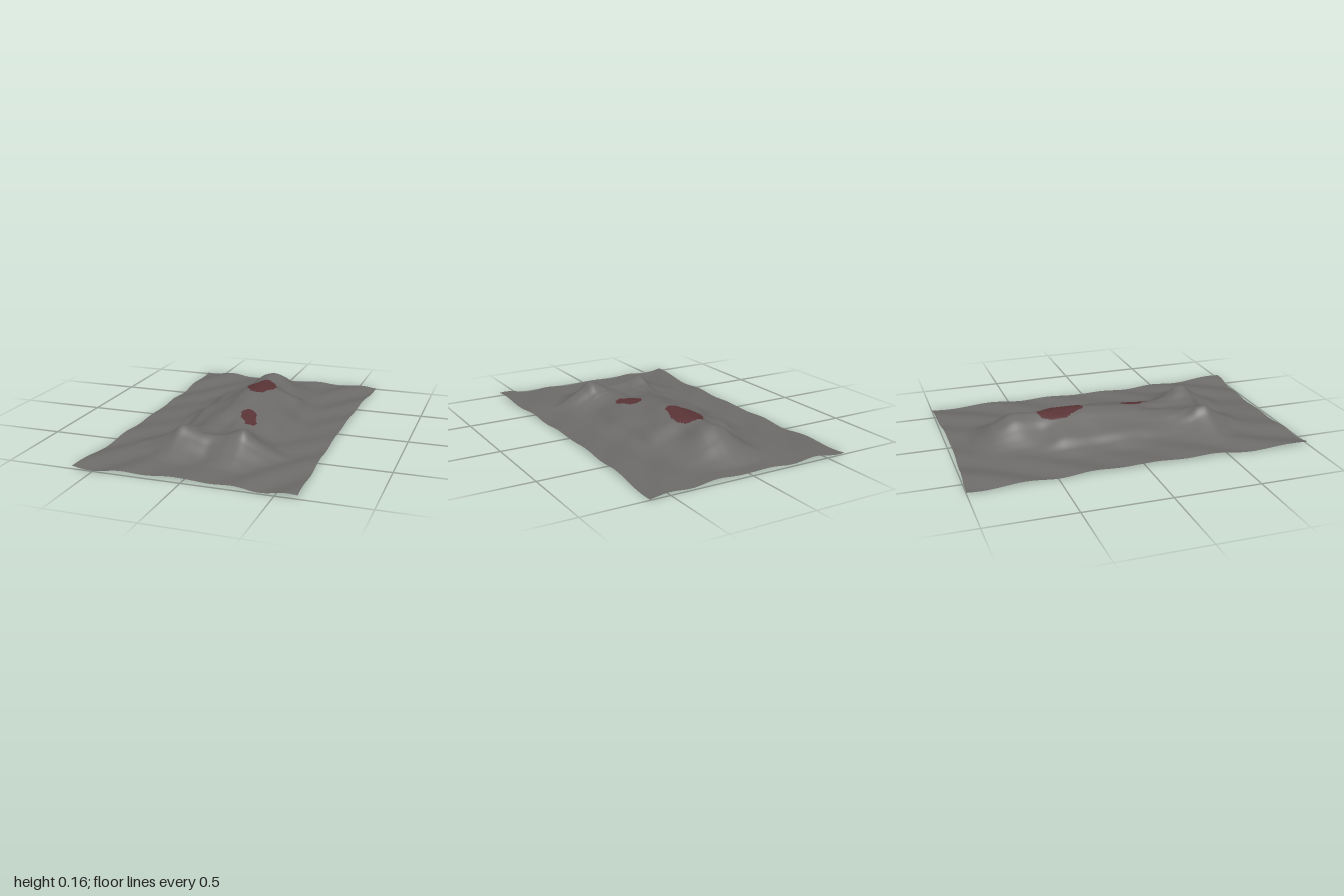
import * as THREE from 'three';

// Cross-sections of the covered form: z, then heights at the XS stations (mirrored in x)
const XS = [0, 0.06, 0.12, 0.18, 0.24, 0.31, 0.40, 0.47];
const SECTIONS = [
  [-0.90, 0, 0, 0, 0, 0, 0, 0],
  [-0.82, 0.04, 0.035, 0.024, 0.012, 0.003, 0, 0],
  [-0.72, 0.108, 0.098, 0.072, 0.04, 0.012, 0, 0],
  [-0.60, 0.162, 0.146, 0.10, 0.055, 0.02, 0.003, 0],
  [-0.48, 0.155, 0.132, 0.088, 0.06, 0.037, 0.01, 0],
  [-0.35, 0.156, 0.148, 0.122, 0.098, 0.074, 0.02, 0],
  [-0.20, 0.158, 0.148, 0.118, 0.088, 0.064, 0.018, 0],
  [-0.03, 0.142, 0.132, 0.106, 0.088, 0.075, 0.034, 0],
  [0.12, 0.125, 0.12, 0.102, 0.08, 0.062, 0.016, 0],
  [0.30, 0.088, 0.098, 0.09, 0.062, 0.036, 0.01, 0],
  [0.42, 0.085, 0.094, 0.105, 0.096, 0.06, 0.028, 0.003],
  [0.49, 0.094, 0.10, 0.126, 0.14, 0.096, 0.056, 0.014],
  [0.53, 0.103, 0.108, 0.128, 0.148, 0.104, 0.062, 0.018],
  [0.60, 0.058, 0.074, 0.092, 0.10, 0.074, 0.04, 0.004],
  [0.70, 0.006, 0.022, 0.036, 0.04, 0.026, 0.006, 0],
  [0.80, 0, 0, 0, 0, 0, 0, 0],
];

// Stain outlines as x, z points
const STAINS = [
  [[-0.09, -0.39], [-0.05, -0.45], [0.01, -0.47], [0.06, -0.45], [0.09, -0.39], [0.09, -0.33],
    [0.065, -0.26], [0.055, -0.2], [0.02, -0.175], [-0.02, -0.19], [-0.05, -0.25], [-0.09, -0.31]],
  [[0.03, 0.13], [0.05, 0.08], [0.09, 0.075], [0.12, 0.11], [0.13, 0.17], [0.15, 0.21],
    [0.145, 0.25], [0.1, 0.27], [0.09, 0.24], [0.05, 0.2]],
];

// Monotone cubic interpolation through sorted knots, clamped at the ends
function interpolate(xs, ys, x) {
  const n = xs.length;
  if (x <= xs[0]) return ys[0];
  if (x >= xs[n - 1]) return ys[n - 1];
  let i = 0;
  while (x > xs[i + 1]) i++;
  const slope = (k) => (ys[k + 1] - ys[k]) / (xs[k + 1] - xs[k]);
  const tangent = (k) => {
    if (k === 0 || k === n - 1) return 0;
    const a = slope(k - 1), b = slope(k);
    return a * b <= 0 ? 0 : (2 * a * b) / (a + b);
  };
  const h = xs[i + 1] - xs[i], t = (x - xs[i]) / h;
  const t2 = t * t, t3 = t2 * t;
  return (2 * t3 - 3 * t2 + 1) * ys[i] + (t3 - 2 * t2 + t) * h * tangent(i)
    + (3 * t2 - 2 * t3) * ys[i + 1] + (t3 - t2) * h * tangent(i + 1);
}

const zKnots = SECTIONS.map((s) => s[0]);
const columns = XS.map((_, i) => SECTIONS.map((s) => s[i + 1] ?? 0));

function formHeight(x, z) {
  const row = columns.map((c) => interpolate(zKnots, c, z));
  const foot = z > 0.4 ? 1 + 0.03 * Math.sign(x) * Math.min(1, Math.abs(x) / 0.15) : 1;
  return interpolate(XS, row, Math.abs(x)) * foot;
}

// Shallow folds of the cloth lying on the ground, strongest at the corners
function foldHeight(x, z) {
  const corner = Math.min(1, 0.25 + Math.abs(x * z) * 2.2);
  const fold = Math.sin((1.35 * x + z) * 15 + 1.2 * Math.sin(z * 3));
  const ripple = Math.sin(x * 9 - z * 5 + 0.8);
  return 0.013 + corner * (0.008 * fold + 0.004 * ripple);
}

function inside(poly, x, z) {
  let hit = false;
  poly.forEach(([ax, az], i) => {
    const [bx, bz] = poly[(i + 1) % poly.length];
    if ((az > z) !== (bz > z) && x < ax + ((z - az) * (bx - ax)) / (bz - az)) hit = !hit;
  });
  return hit;
}

export function createModel() {
  const cloth = new THREE.MeshStandardMaterial({ color: 0x6e6c6a, side: THREE.DoubleSide });
  cloth.name = 'grey cloth';
  const stain = new THREE.MeshStandardMaterial({ color: 0x5a3436, side: THREE.DoubleSide });
  stain.name = 'dark red stain';

  // Draped sheet with edges pulled inward at the middle of each side
  const geometry = new THREE.PlaneGeometry(2, 2, 140, 230).rotateX(-Math.PI / 2);
  const p = geometry.attributes.position;
  for (let i = 0; i < p.count; i++) {
    const u = p.getX(i), w = p.getZ(i);
    const x = u * (0.62 - 0.03 * Math.cos((w * Math.PI) / 2));
    const pull = w > 0 ? 0.03 : 0.022;
    const z = w * (1 - pull * Math.cos((u * Math.PI) / 2) ** 1.5);
    const body = formHeight(x, z);
    p.setXYZ(i, x, body + foldHeight(x, z) * Math.exp(-body * 25), z);
  }
  geometry.computeVertexNormals();

  // Sort faces into plain cloth and stained cloth
  const faces = [[], []];
  const index = geometry.index.array;
  for (let i = 0; i < index.length; i += 3) {
    const tri = [index[i], index[i + 1], index[i + 2]];
    const cx = tri.reduce((s, k) => s + p.getX(k), 0) / 3;
    const cz = tri.reduce((s, k) => s + p.getZ(k), 0) / 3;
    faces[STAINS.some((poly) => inside(poly, cx, cz)) ? 1 : 0].push(...tri);
  }
  geometry.setIndex(faces[0].concat(faces[1]));
  geometry.clearGroups();
  geometry.addGroup(0, faces[0].length, 0);
  geometry.addGroup(faces[0].length, faces[1].length, 1);

  // Rest the lowest point on the ground
  geometry.computeBoundingBox();
  geometry.translate(0, -geometry.boundingBox.min.y, 0);

  const sheet = new THREE.Mesh(geometry, [cloth, stain]);
  sheet.name = 'drapedSheet';
  const group = new THREE.Group();
  group.name = 'coveredForm';
  group.add(sheet);
  return group;
}
